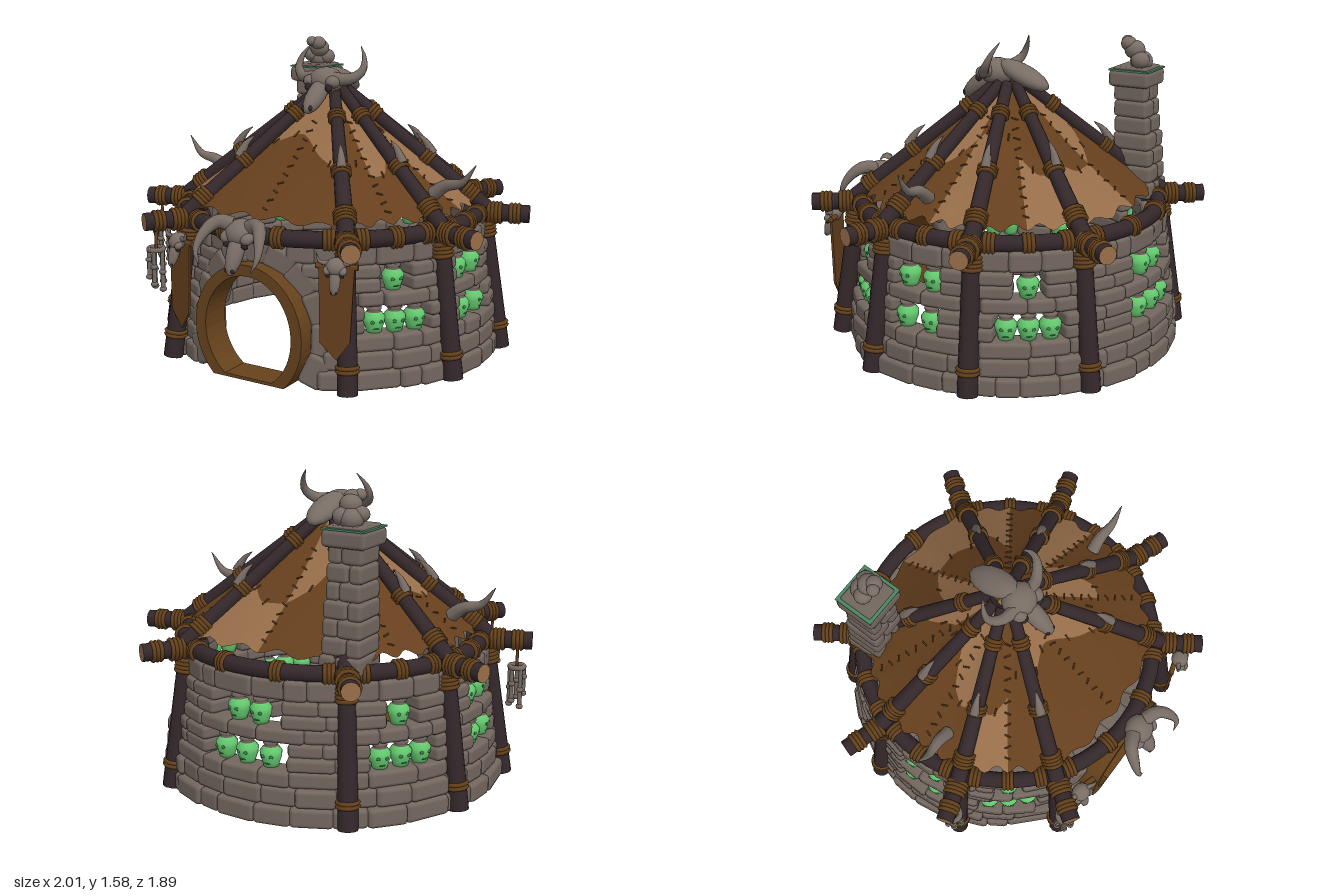
import * as THREE from 'three';
import { RoundedBoxGeometry } from 'three/addons/geometries/RoundedBoxGeometry.js';

const V = (x, y, z) => new THREE.Vector3(x, y, z);
const mat = (name, color, side = THREE.FrontSide) => {
  const m = new THREE.MeshStandardMaterial({ color, side });
  m.name = name;
  return m;
};
const M = {
  stone: mat('stone', 0x73675f), bone: mat('bone', 0x786d65), beam: mat('darkTimber', 0x33272a),
  cut: mat('cutWood', 0x9a6e49), rope: mat('rope', 0x66421c), brown: mat('brownHide', 0x653f1d, THREE.DoubleSide),
  tan: mat('tanHide', 0x966d49, THREE.DoubleSide), green: mat('greenGlass', 0x66cc70),
  shade: mat('darkGreen', 0x35804a), moss: mat('moss', 0x4c8462),
};
const CZ = -0.055, DEG = Math.PI / 180;
const ANGLES = [19, 55, 125, 161, 197, 235, 305, 343].map(d => d * DEG);
const polar = (a, r, y) => V(Math.cos(a) * r, y, Math.sin(a) * r + CZ);
const wallR = (a, y) => 0.89 - 0.13 * y - 0.08 * Math.max(0, Math.sin(a)) ** 2;
let seed = 7;
const rnd = () => (seed = (seed * 16807) % 2147483647) / 2147483647;

function add(parent, name, geo, material, pos) {
  const m = new THREE.Mesh(geo, material);
  m.name = name;
  if (pos) m.position.copy(pos);
  parent.add(m);
  return m;
}
function sub(parent, name) {
  const g = new THREE.Group();
  g.name = name;
  parent.add(g);
  return g;
}
function bar(parent, name, p, q, r0, r1, material, sides = 12) {
  const d = q.clone().sub(p);
  const m = add(parent, name, new THREE.CylinderGeometry(r1, r0, d.length(), sides), material, p.clone().lerp(q, 0.5));
  m.quaternion.setFromUnitVectors(V(0, 1, 0), d.normalize());
  return m;
}
// Coils of rope around the line p-q
const coil = {};
function wrap(parent, p, q, t, R, n = 3) {
  const d = q.clone().sub(p).normalize();
  coil[R] ??= new THREE.TorusGeometry(R, 0.0115, 5, 12);
  for (let i = 0; i < n; i++) {
    const m = add(parent, 'ropeCoil', coil[R], M.rope, p.clone().lerp(q, t).addScaledVector(d, (i - (n - 1) / 2) * 0.019));
    m.quaternion.setFromUnitVectors(V(0, 0, 1), d);
  }
}
// Tapered tube along a curve
function horn(parent, pts, r) {
  const c = new THREE.CatmullRomCurve3(pts), n = 12, s = 8;
  const g = new THREE.TubeGeometry(c, n, r, s), p = g.attributes.position, v = V(0, 0, 0);
  for (let i = 0; i <= n; i++) {
    const o = c.getPointAt(i / n);
    for (let j = 0; j <= s; j++) {
      const k = i * (s + 1) + j;
      v.fromBufferAttribute(p, k).sub(o).multiplyScalar(1 - 0.95 * (i / n) ** 1.5).add(o);
      p.setXYZ(k, v.x, v.y, v.z);
    }
  }
  add(parent, 'horn', g, M.bone);
}
function hornPair(parent, pts, r) {
  for (const s of [-1, 1]) horn(parent, pts.map(([x, y, z]) => V(s * x, y, z)), r);
}
const ball = new THREE.SphereGeometry(1, 14, 10), smallBall = new THREE.SphereGeometry(1, 8, 6);
function blob(parent, name, x, y, z, sx, sy, sz, material, tilt = 0) {
  const m = add(parent, name, sx < 0.025 ? smallBall : ball, material, V(x, y, z));
  m.scale.set(sx, sy, sz);
  m.rotation.x = tilt;
  return m;
}
// Animal skull, snout pointing down and forward
function skull(parent, name, x, y, z, s, tilt = 0) {
  const g = sub(parent, name);
  g.position.set(x, y, z); g.scale.setScalar(s); g.rotation.x = tilt;
  blob(g, 'cranium', 0, 0, 0, 0.085, 0.065, 0.08, M.bone);
  blob(g, 'snout', 0, -0.055, 0.085, 0.045, 0.045, 0.125, M.bone, 0.65);
  for (const e of [-1, 1]) {
    blob(g, 'brow', e * 0.06, 0.0, 0.04, 0.035, 0.03, 0.04, M.bone);
    blob(g, 'eyeSocket', e * 0.055, -0.025, 0.07, 0.02, 0.02, 0.015, M.beam);
    blob(g, 'nostril', e * 0.018, -0.11, 0.17, 0.01, 0.014, 0.012, M.beam);
  }
  return g;
}
function stone(parent, w, h, d, pos, yaw, roll = 0) {
  const m = add(parent, 'stoneBlock', new RoundedBoxGeometry(w, h, d, 1, Math.min(0.022, h * 0.3)), M.stone, pos);
  m.rotation.set(0, yaw, roll, 'YXZ');
  return m;
}
const jarPart = (pts, a = 0, l = Math.PI * 2) => new THREE.LatheGeometry(pts.map(([x, y]) => new THREE.Vector2(x, y)), 12, a, l);
const body = [[0, 0], [0.036, 0], [0.042, 0.025], [0.052, 0.052], [0.054, 0.08], [0.036, 0.104]];
const JAR = { face: jarPart(body, -2.1, 4.2), back: jarPart(body, 2.1, Math.PI * 2 - 4.2),
  neck: jarPart([[0.037, 0.1], [0.03, 0.11], [0.038, 0.117], [0.036, 0.129], [0, 0.129]]) };
function jar(parent, a, y, backMat) {
  const g = sub(parent, 'skullJar');
  g.position.copy(polar(a, wallR(a, y) - 0.052, y));
  g.rotation.y = Math.PI / 2 - a;
  add(g, 'jarFace', JAR.face, M.green);
  add(g, 'jarBack', JAR.back, backMat);
  add(g, 'jarNeck', JAR.neck, M.stone);
  for (const s of [-1, 1]) blob(g, 'jarEye', s * 0.02, 0.062, 0.047, 0.011, 0.009, 0.006, M.shade);
  blob(g, 'jarMouth', 0, 0.025, 0.042, 0.016, 0.004, 0.004, M.shade);
}

function buildWall(root) {
  const wall = sub(root, 'stoneWall'), jars = sub(root, 'jars');
  // angle, half widths (lower, upper), jar offsets (lower, upper)
  const win = [143, 177, 216, 270, 324, 363, 397].map(d => {
    const a = d * DEG;
    if (d === 270) return [a, 0.28, 0.24, [-0.16, 0, 0.16], [-0.08, 0.08]];
    if (d === 177 || d === 363) return [a, 0.16, 0.16, [-0.092, 0.092], [-0.092, 0.092]];
    return [a, 0.205, 0.1, [-0.132, 0, 0.132], [0]];
  });
  for (const [a, half, , lo, up] of win) {
    lo.forEach(o => jar(jars, a + o, 0.268, half > 0.25 ? M.stone : M.green));
    up.forEach(o => jar(jars, a + o, 0.468, M.green));
  }
  // Courses of stone, left open at the windows and the door
  const ys = [0, 0.1, 0.19, 0.27, 0.335, 0.4, 0.47, 0.535, 0.6, 0.7];
  for (let i = 0; i < ys.length - 1; i++) {
    const y0 = ys[i], h = ys[i + 1] - y0, near = THREE.MathUtils.clamp(0.25, y0, y0 + h);
    const cut = Math.asin(0.36 * Math.sqrt(Math.max(0, 1 - ((near - 0.25) / 0.4) ** 2)) / 0.77);
    const spans = [];
    let start = Math.PI / 2 + cut;
    const level = i === 3 || i === 4 ? 1 : i === 6 || i === 7 ? 2 : 0;
    if (level) for (const w of win) { spans.push([start, w[0] - w[level]]); start = w[0] + w[level]; }
    spans.push([start, Math.PI * 2.5 - cut]);
    for (const [s, e] of spans) {
      const n = Math.max(1, Math.round((e - s) * 0.85 / 0.18));
      const edge = Array.from({ length: n + 1 }, (_, k) => s + (e - s) * (k + (k && k < n ? (rnd() - 0.5) * 0.6 : 0)) / n);
      for (let k = 0; k < n; k++) {
        const a = (edge[k] + edge[k + 1]) / 2, r = wallR(a, y0) + rnd() * 0.016;
        stone(wall, (edge[k + 1] - edge[k]) * r + 0.004, h + (i ? 0.005 : 0), 0.13, polar(a, r - 0.065, y0 + h / 2), Math.PI / 2 - a);
      }
    }
  }
  // Arch stones around the door
  for (let k = 0; k < 11; k++) {
    const t = (-25 + 23 * k) * DEG, x = 0.365 * Math.cos(t), y = 0.25 + 0.385 * Math.sin(t);
    const a = Math.acos(x / 0.79), r = wallR(a, y);
    stone(wall, 0.12, 0.165, 0.14, polar(a, r - 0.055, y), (Math.PI / 2 - a) * 0.8, t);
  }
}

function buildDoor(root) {
  // Oval frame cut flat at the ground, with a sill
  const arc = (rx, ry, y) => {
    const t0 = Math.asin((y - 0.25) / ry);
    return Array.from({ length: 41 }, (_, i) => {
      const t = t0 + (Math.PI - 2 * t0) * i / 40;
      return new THREE.Vector2(rx * Math.cos(t), 0.25 + ry * Math.sin(t));
    });
  };
  const s = new THREE.Shape(arc(0.31, 0.335, 0));
  s.holes.push(new THREE.Path(arc(0.25, 0.28, 0.016).reverse()));
  const g = new THREE.ExtrudeGeometry(s, { depth: 0.16, bevelEnabled: false });
  add(root, 'doorFrame', g, M.rope, V(0, 0, 0.6));
}

function buildFrame(root) {
  const frame = sub(root, 'timberFrame');
  const ring = add(frame, 'eavesRing', new THREE.TorusGeometry(0.775, 0.042, 10, 64), M.beam, V(0, 0.73, CZ));
  ring.rotation.x = Math.PI / 2;
  const ringWrap = (a, n) => wrap(frame, polar(a - 0.03, 0.775, 0.73), polar(a + 0.03, 0.775, 0.73), 0.5, 0.045, n);
  ANGLES.forEach((a, i) => {
    const p0 = polar(a, 0.905, 0.01), p1 = polar(a, 0.8, 0.73);
    bar(frame, 'post', p0, p1, 0.05, 0.042, M.beam);
    wrap(frame, p0, p1, 0.17, 0.05, 2); wrap(frame, p0, p1, 0.88, 0.046, 4);
    const s0 = polar(a, 0.7, 0.73), s1 = polar(a, 1.035, 0.73);
    bar(frame, 'beamEnd', s0, s1, 0.043, 0.046, [M.beam, M.cut, M.cut]);
    wrap(frame, s0, s1, 0.47, 0.05, 4); wrap(frame, s0, s1, 0.78, 0.046, 3);
    const r0 = polar(a, 0.81, 0.755), r1 = polar(a, 0.07, 1.345);
    bar(frame, 'rafter', r0, r1, 0.043, 0.03, M.beam);
    wrap(frame, r0, r1, 0.12, 0.046, 4); wrap(frame, r0, r1, 0.42, 0.041, 3); wrap(frame, r0, r1, 0.8, 0.036, 3);
    // Bone claw lashed to the rafter
    const c = polar(a, 0.53, 1.025), d = polar(a, 0.44, 1.13);
    horn(frame, [c, c.clone().lerp(d, 0.5).add(V(0, 0.015, 0)), d], 0.026);
    const next = i < 7 ? ANGLES[i + 1] : ANGLES[0] + Math.PI * 2, wide = next - a > 1;
    ringWrap(a + 0.1, 3); ringWrap(next - 0.1, 3);
    for (const f of wide ? [0.34, 0.66] : [0.5]) ringWrap(a + (next - a) * f, 3);
  });
}

function buildRoof(root) {
  const roof = sub(root, 'hideRoof');
  const pattern = ['tbbb', 'tbtb', 'bbbt', 'tbtb', 'bbtb', 'tbbt', 'btbb', 'bttb'];
  ANGLES.forEach((a0, k) => {
    const a1 = k < 7 ? ANGLES[k + 1] : ANGLES[0] + Math.PI * 2, slack = (1 - Math.cos((a1 - a0) / 2)) * 0.42;
    // Sagging hide between two rafters, scalloped at the eaves
    const surf = (u, v) => {
      const m = Math.sin(Math.PI * u), w = v * (1 - 0.02 * m + 0.022 * v * v * Math.cos(u * Math.PI * 8));
      return polar(a0 + (a1 - a0) * u, (0.03 + 0.735 * w) * (1 - slack * m), 1.345 - 0.56 * w - 0.025 * m * Math.sin(Math.PI * v));
    };
    const split = u => 0.5 + 0.16 * Math.sin(k * 2.3 + u * 4);
    for (let half = 0; half < 2; half++) for (let band = 0; band < 2; band++) {
      const g = new THREE.PlaneGeometry(1, 1, 12, 6), p = g.attributes.position;
      for (let i = 0; i < p.count; i++) {
        const u = half / 2 + (p.getX(i) + 0.5) / 2, f = p.getY(i) + 0.5, s = split(u);
        const q = surf(u, band ? s + (1 - s) * f : s * f);
        p.setXYZ(i, q.x, q.y, q.z);
      }
      g.computeVertexNormals();
      add(roof, 'hidePatch', g, pattern[k][half * 2 + band] === 't' ? M.tan : M.brown);
    }
    // Stitches along the middle seam and across the patches
    const stitch = (u, v, du, dv) => bar(roof, 'stitch', surf(u - du, v - dv).add(V(0, 0.005, 0)), surf(u + du, v + dv).add(V(0, 0.005, 0)), 0.0045, 0.0045, M.rope, 5);
    for (let i = 0; i < 11; i++) {
      const v = 0.25 + 0.067 * i;
      stitch(0.5, v, 0.02 / (v * (a1 - a0)), i % 2 ? 0.008 : -0.008);
    }
    for (let i = 1; i < 10; i += 2) if (i !== 5) stitch(i / 10, split(i / 10), 0.01, 0.022);
  });
}

function buildChimney(root) {
  const g = sub(root, 'chimney');
  const levels = 7, x = -0.42, h = 0.085;
  for (let i = 0; i < levels; i++) {
    const w = 0.22 - 0.005 * i + (rnd() - 0.5) * 0.016, y = 0.77 + h * i, z = -0.612 + 0.006 * i;
    const f = i % 2 ? 0.38 : 0.62;
    for (const s of [-1, 1]) {
      const wl = w * (s < 0 ? f : 1 - f);
      stone(g, wl, h + 0.005, w, V(x + s * (w - wl) / 2, y, z), (rnd() - 0.5) * 0.08);
    }
  }
  stone(g, 0.235, 0.085, 0.225, V(x, 1.355, -0.575), 0);
  add(g, 'mossyRim', new THREE.BoxGeometry(0.225, 0.009, 0.22), M.moss, V(x, 1.399, -0.575));
  stone(g, 0.19, 0.03, 0.185, V(x, 1.4, -0.575), 0);
  // Smoke puffs
  for (const [px, py, pz, r] of [[-0.42, 1.44, -0.6, 0.06], [-0.45, 1.46, -0.57, 0.045], [-0.38, 1.45, -0.61, 0.05], [-0.4, 1.5, -0.57, 0.055], [-0.39, 1.53, -0.54, 0.042], [-0.42, 1.54, -0.52, 0.032]])
    blob(g, 'smokePuff', px, py, pz, r, r * 0.9, r, M.bone);
}

function buildTrophies(root) {
  // Great skull on the peak
  const top = skull(root, 'peakSkull', 0, 1.395, 0.02, 1.1);
  blob(top, 'skullCrest', 0, -0.005, -0.14, 0.07, 0.045, 0.14, M.bone, -0.4);
  hornPair(root, [[0.06, 1.41, 0.04], [0.14, 1.41, 0.02], [0.19, 1.45, -0.02], [0.187, 1.51, -0.05], [0.15, 1.57, -0.08]], 0.034);
  // Ram skull over the door
  skull(root, 'doorSkull', 0, 0.755, 0.795, 0.95, 0.45);
  hornPair(root, [[0.05, 0.785, 0.79], [0.115, 0.8, 0.82], [0.16, 0.75, 0.88], [0.175, 0.67, 0.925], [0.145, 0.61, 0.935]], 0.04);
  // Roof tusks
  hornPair(root, [[0.63, 0.87, 0.04], [0.7, 0.92, 0.04], [0.79, 0.945, 0.05], [0.865, 1.04, 0.05]], 0.036);
  // Banners beside the door
  for (const [x, yaw] of [[-0.42, -0.3], [0.48, 0.3]]) {
    const g = sub(root, 'banner');
    g.position.set(x, 0, 0.72); g.rotation.y = yaw;
    const s = new THREE.Shape([[-0.085, 0.64], [-0.08, 0.27], [0, 0.19], [0.065, 0.28], [0.085, 0.64]].map(q => new THREE.Vector2(...q)));
    add(g, 'bannerCloth', new THREE.ExtrudeGeometry(s, { depth: 0.012, bevelEnabled: false }), M.brown);
    bar(g, 'bannerRod', V(-0.1, 0.64, 0), V(0.1, 0.64, 0), 0.014, 0.014, M.rope, 8);
    skull(g, 'bannerSkull', 0, 0.645, 0.02, 0.6, 0.6);
    hornPair(g, [[0.03, 0.66, 0.02], [0.075, 0.67, 0.03], [0.09, 0.71, 0.03]], 0.014);
  }
  // Bone chimes hung from the beam ends
  for (const [x, z] of [[-0.905, 0.27], [-0.565, 0.74]]) {
    const g = sub(root, 'boneChime');
    g.position.set(x, 0, z);
    bar(g, 'cord', V(0, 0.59, 0), V(0, 0.7, 0), 0.008, 0.008, M.rope, 6);
    add(g, 'chimeHoop', new THREE.TorusGeometry(0.037, 0.014, 6, 14), M.bone, V(0, 0.585, 0)).rotation.x = Math.PI / 2;
    for (let i = 0; i < 5; i++) {
      const a = i * Math.PI * 0.4, cx = 0.037 * Math.cos(a), cz = 0.037 * Math.sin(a), y = 0.38 + 0.03 * (i % 3);
      bar(g, 'hangingBone', V(cx, y, cz), V(cx, 0.585, cz), 0.012, 0.011, M.bone, 6);
      for (const k of [y, y + 0.09]) blob(g, 'boneKnuckle', cx, k, cz, 0.019, 0.015, 0.019, M.bone);
    }
  }
}

export function createModel() {
  const root = new THREE.Group();
  root.name = 'hut';
  for (const build of [buildWall, buildDoor, buildFrame, buildRoof, buildChimney, buildTrophies]) build(root);
  return root;
}
